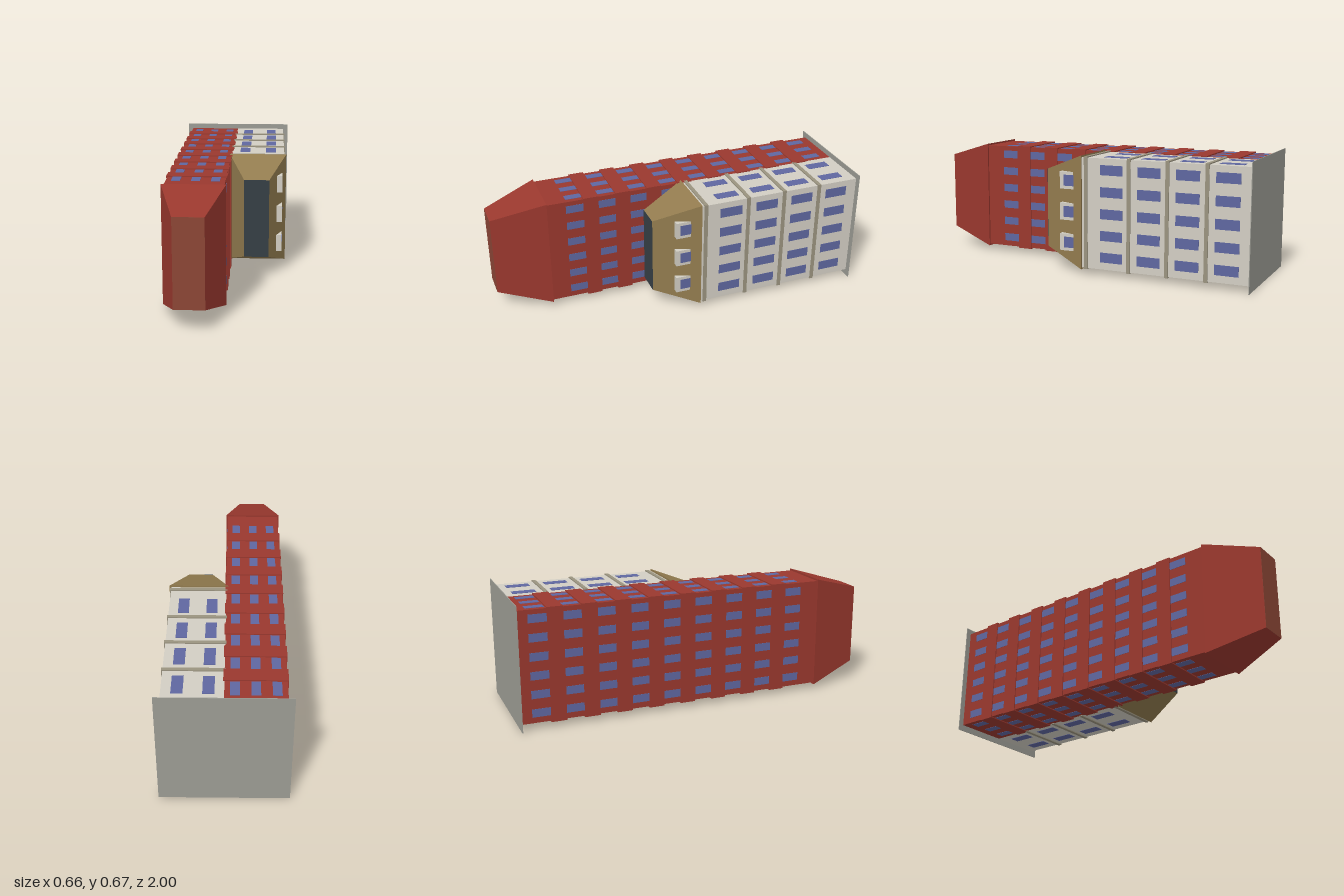
import * as THREE from 'three';

const paint = (color) => new THREE.MeshStandardMaterial({ color, flatShading: true });
const MAT = {
  ground: paint(0x9c9c94), brick: paint(0x9a382e), brickCap: paint(0x8c4636),
  plaster: paint(0xd2cec3), ledge: paint(0x9a937f), roof: paint(0x937c4f),
  slate: paint(0x363f45), glass: paint(0x5f67a0),
};
const Y0 = 0.035, Y1 = 0.635; // both towers share this extent in y

// Box given by its minimum and maximum on each axis
function block(parent, name, mat, [x0, x1], [y0, y1], [z0, z1]) {
  const mesh = new THREE.Mesh(new THREE.BoxGeometry(x1 - x0, y1 - y0, z1 - z0), mat);
  mesh.position.set((x0 + x1) / 2, (y0 + y1) / 2, (z0 + z1) / 2);
  mesh.name = name;
  parent.add(mesh);
  return mesh;
}

// Hipped roof: a box whose +z end shrinks to a smaller rectangle, plus its flat cap
function hippedRoof(parent, name, mat, capMat, base, top) {
  const geo = new THREE.BoxGeometry(1, 1, 1);
  const p = geo.attributes.position;
  for (let i = 0; i < p.count; i++) {
    const r = p.getZ(i) > 0 ? top : base;
    p.setXYZ(i, r.x[p.getX(i) > 0 ? 1 : 0], r.y[p.getY(i) > 0 ? 1 : 0], r.z);
  }
  geo.computeVertexNormals();
  const mesh = new THREE.Mesh(geo, mat);
  mesh.name = name;
  parent.add(mesh);
  block(parent, name + 'Cap', capMat, top.x, top.y, [top.z - 0.003, top.z + 0.001]);
}

// Thin panes on all four walls of a tower, for one storey
function storeyWindows(parent, [x0, x1], xs, ys, w, h, zSide, zTop, len) {
  const t = 0.0015;
  for (const y of ys)
    for (const x of [x0, x1])
      block(parent, 'sideWindow', MAT.glass, [x - t, x + t], [y - h / 2, y + h / 2],
        [zSide - len / 2, zSide + len / 2]);
  for (const x of xs)
    for (const y of [Y0, Y1])
      block(parent, 'endWindow', MAT.glass, [x - w / 2, x + w / 2], [y - t, y + t],
        [zTop - len / 2, zTop + len / 2]);
}

function brickTower() {
  const g = new THREE.Group();
  g.name = 'brickTower';
  const xr = [-0.3, 0];
  block(g, 'brickWalls', MAT.brick, xr, [Y0, Y1], [-0.999, 0.704]);
  const ys = Array.from({ length: 6 }, (_, i) => 0.088 + i * 0.1);
  for (let i = 0; i < 9; i++) {
    const z = 0.55 - i * 0.18;
    storeyWindows(g, xr, [-0.25, -0.15, -0.05], ys, 0.045, 0.044, z, z - 0.006, 0.098);
    // projecting band between storeys
    if (i < 8)
      block(g, 'brickBand', MAT.brick, [-0.306, 0.006], [Y0 - 0.006, Y1 + 0.006],
        [z - 0.132, z - 0.048]);
  }
  hippedRoof(g, 'brickRoof', MAT.brick, MAT.brickCap,
    { x: [-0.31, 0.01], y: [0.025, 0.645], z: 0.704 },
    { x: [-0.226, -0.073], y: [0.109, 0.56], z: 0.999 });
  return g;
}

function plasterTower() {
  const g = new THREE.Group();
  g.name = 'plasterTower';
  const xr = [0, 0.3];
  block(g, 'plasterWalls', MAT.plaster, xr, [Y0, Y1], [-0.999, -0.062]);
  const ys = Array.from({ length: 5 }, (_, i) => 0.101 + i * 0.118);
  for (let i = 0; i < 4; i++) {
    const z = -0.236 - i * 0.212;
    storeyWindows(g, xr, [0.074, 0.223], ys, 0.057, 0.054, z, z, 0.128);
  }
  // string courses
  for (const z of [-0.088, -0.336, -0.55, -0.763])
    block(g, 'ledge', MAT.ledge, [-0.006, 0.306], [Y0 - 0.006, Y1 + 0.006], [z - 0.01, z + 0.01]);
  hippedRoof(g, 'plasterRoof', MAT.roof, MAT.slate,
    { x: [-0.01, 0.31], y: [0.025, 0.645], z: -0.063 },
    { x: [0.08, 0.217], y: [0.115, 0.551], z: 0.187 });
  // dormers on the outer slope
  for (const y of [0.163, 0.333, 0.504]) {
    block(g, 'dormer', MAT.plaster, [0.22, 0.289], [y - 0.047, y + 0.047], [-0.008, 0.075]);
    block(g, 'dormerWindow', MAT.glass, [0.286, 0.2905], [y - 0.03, y + 0.03], [-0.008, 0.052]);
  }
  return g;
}

export function createModel() {
  const model = new THREE.Group();
  model.name = 'twinTowers';
  block(model, 'groundPlate', MAT.ground, [-0.33, 0.33], [0, 0.665], [-1, -0.996]);
  model.add(brickTower(), plasterTower());
  return model;
}
